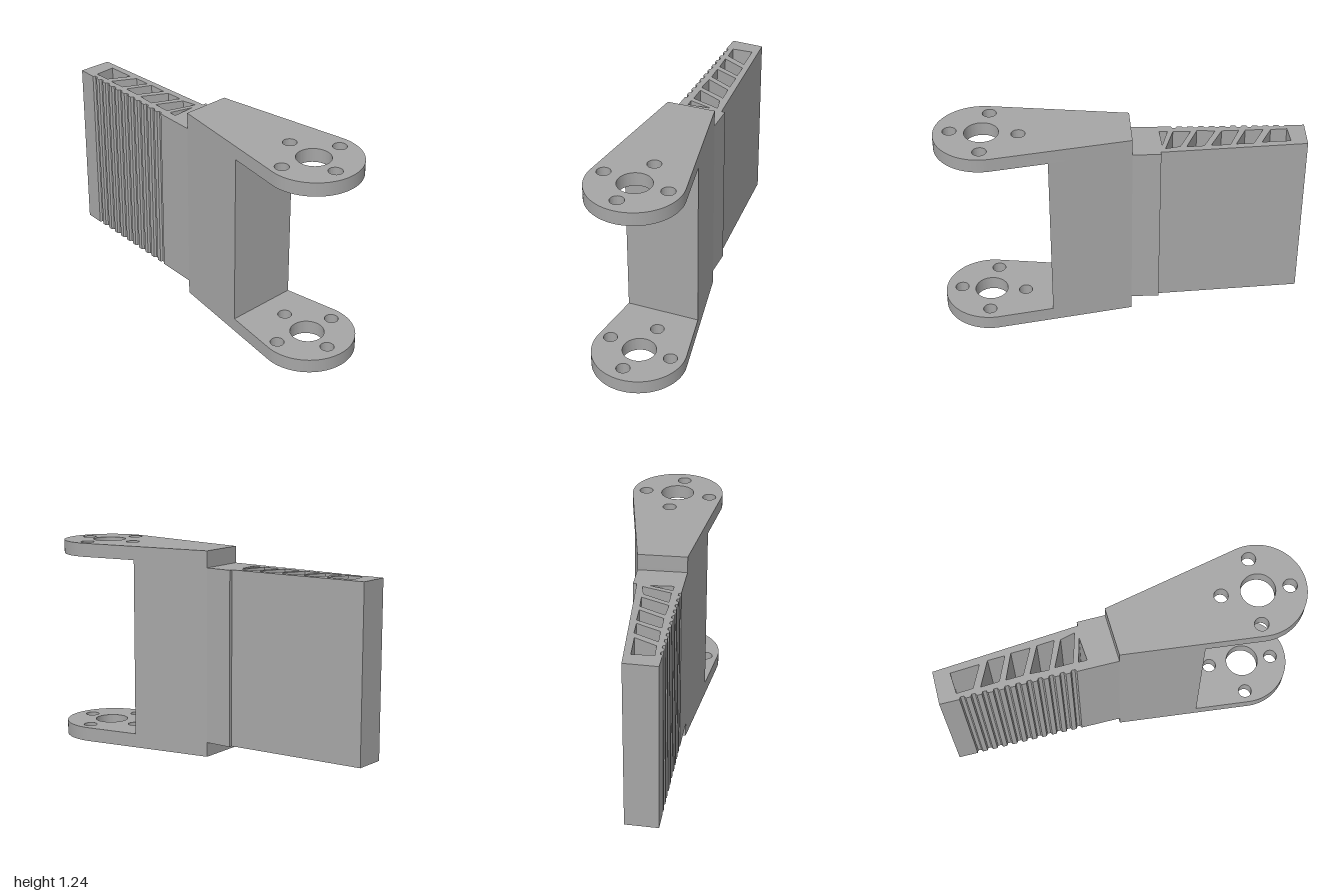
import * as THREE from 'three';
import { toCreasedNormals } from 'three/addons/utils/BufferGeometryUtils.js';

const V = (x, z) => new THREE.Vector2(x, -z); // plan position (x, z) as a shape point

export function createModel() {
  const group = new THREE.Group();
  const grey = new THREE.MeshStandardMaterial({ color: 0xa6a6a6 });
  grey.name = 'plain grey';

  // Extrudes a plan outline upward from y0 to y1
  const slab = (name, shape, y0, y1) => {
    let geo = new THREE.ExtrudeGeometry(shape, { depth: y1 - y0, bevelEnabled: false, curveSegments: 40 });
    geo.rotateX(-Math.PI / 2).translate(0, y0, 0);
    geo = toCreasedNormals(geo, 0.5);
    const mesh = new THREE.Mesh(geo, grey);
    mesh.name = name;
    group.add(mesh);
  };

  // Shared plan corners: neck of the bracket and the round lug
  const neckA = V(-0.19, 0.02), neckB = V(0.07, -0.11);
  const hub = V(0.33, 0.72), R = 0.28;
  const tangentAngle = (p, side) => {
    const d = p.clone().sub(hub);
    return Math.atan2(d.y, d.x) + side * Math.acos(R / d.length());
  };
  const onHub = (a) => new THREE.Vector2(hub.x + R * Math.cos(a), hub.y + R * Math.sin(a));
  const a0 = tangentAngle(neckA, 1), a1 = tangentAngle(neckB, -1);

  // Teardrop arm plates with a bore and four bolt holes
  const arm = new THREE.Shape();
  arm.moveTo(neckB.x, neckB.y);
  arm.lineTo(neckA.x, neckA.y);
  arm.lineTo(onHub(a0).x, onHub(a0).y);
  arm.absarc(hub.x, hub.y, R, a0, a1 + Math.PI * 2, false);
  arm.closePath();
  const bores = [[0.33, 0.72, 0.1], [0.26, 0.52, 0.041], [0.51, 0.64, 0.041], [0.13, 0.77, 0.041], [0.39, 0.895, 0.041]];
  for (const [x, z, r] of bores) {
    arm.holes.push(new THREE.Path().absarc(x, -z, r, 0, Math.PI * 2, true));
  }
  slab('lowerArm', arm, 0, 0.085);
  slab('upperArm', arm, 1.157, 1.24);

  // Solid web joining the two arms
  const web = new THREE.Shape([
    neckA, neckA.clone().lerp(onHub(a0), 0.59), neckB.clone().lerp(onHub(a1), 0.597), neckB,
  ]);
  slab('web', web, 0.085, 1.157);

  // Finger outline, with grip grooves along its left side
  const tip = V(-0.615, -0.92);
  const along = neckA.clone().sub(tip).normalize();
  const inward = new THREE.Vector2(-along.y, along.x);
  const edge = (s, depth) => tip.clone().addScaledVector(along, s).addScaledVector(inward, depth);
  const outline = [neckA, neckB, V(0, -0.26), V(-0.02, -0.25), V(-0.435, -1), tip];
  const pitch = 0.0635;
  for (let i = 0; i < 11; i++) {
    const s = 0.115 + i * pitch;
    outline.push(edge(s, 0), edge(s + 0.008, 0.014), edge(s + 0.028, 0.014), edge(s + 0.036, 0));
  }
  const finger = new THREE.Shape(outline);

  // Slanted pockets through the finger, separated by thin ribs
  const pockets = [
    [[-0.535, -0.84], [-0.425, -0.9], [-0.345, -0.75], [-0.49, -0.755]],
    [[-0.475, -0.715], [-0.315, -0.71], [-0.27, -0.62], [-0.425, -0.62]],
    [[-0.41, -0.585], [-0.25, -0.59], [-0.2, -0.49], [-0.365, -0.495]],
    [[-0.35, -0.46], [-0.18, -0.455], [-0.13, -0.365], [-0.31, -0.36]],
    [[-0.29, -0.33], [-0.12, -0.33], [-0.065, -0.26], [-0.245, -0.235]],
    [[-0.235, -0.205], [-0.09, -0.23], [-0.215, -0.16]],
  ];
  for (const p of pockets) finger.holes.push(new THREE.Path(p.map(([x, z]) => V(x, z))));
  slab('finger', finger, 0.088, 1.14);

  return group;
}
